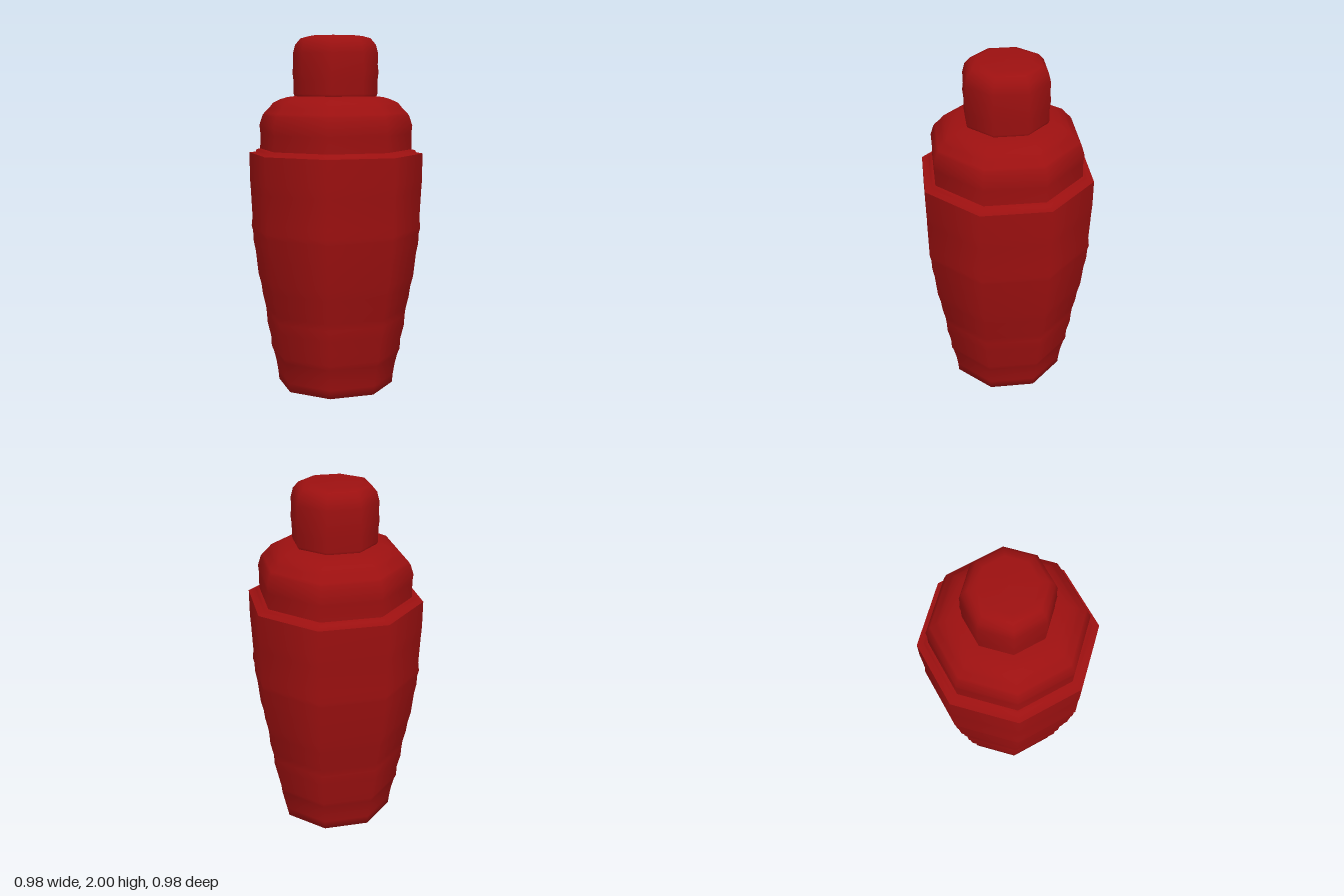
import * as THREE from 'three';

const SIDES = 8;
const material = new THREE.MeshStandardMaterial({ color: 0x9c1010, roughness: 0.6 });

// Smooth eight-sided turned part from [radius, height] pairs, bottom to top
function turned(name, profile) {
  const points = profile.map(([r, y]) => new THREE.Vector2(r, y));
  const mesh = new THREE.Mesh(new THREE.LatheGeometry(points, SIDES), material);
  mesh.name = name;
  return mesh;
}

export function createModel() {
  const group = new THREE.Group();
  group.name = 'cocktailShaker';

  // Tapered cup with closed base
  group.add(turned('cup', [
    [0, 0], [0.27, 0.005], [0.33, 0.02], [0.335, 0.07], [0.345, 0.13],
    [0.36, 0.19], [0.373, 0.22], [0.376, 0.28], [0.396, 0.36], [0.4, 0.42],
    [0.405, 0.46], [0.422, 0.53], [0.43, 0.59], [0.446, 0.65], [0.46, 0.78],
    [0.472, 0.84], [0.475, 0.9], [0.483, 0.93], [0.477, 0.98], [0.485, 1.14],
    [0.489, 1.2], [0.49, 1.35],
  ]));

  // Stepped rim between cup and strainer lid
  group.add(turned('rim', [[0.49, 1.35], [0.455, 1.353], [0.448, 1.368], [0.428, 1.373]]));

  // Domed strainer lid
  group.add(turned('strainerLid', [
    [0.428, 1.373], [0.426, 1.46], [0.431, 1.505], [0.413, 1.56], [0.402, 1.575],
    [0.372, 1.605], [0.352, 1.63], [0.31, 1.65], [0.27, 1.662], [0.23, 1.667],
  ]));

  // Rounded cap
  group.add(turned('cap', [
    [0.23, 1.667], [0.235, 1.68], [0.235, 1.75], [0.241, 1.8], [0.236, 1.84],
    [0.238, 1.9], [0.225, 1.95], [0.195, 1.985], [0.15, 1.997], [0, 2],
  ]));

  return group;
}
